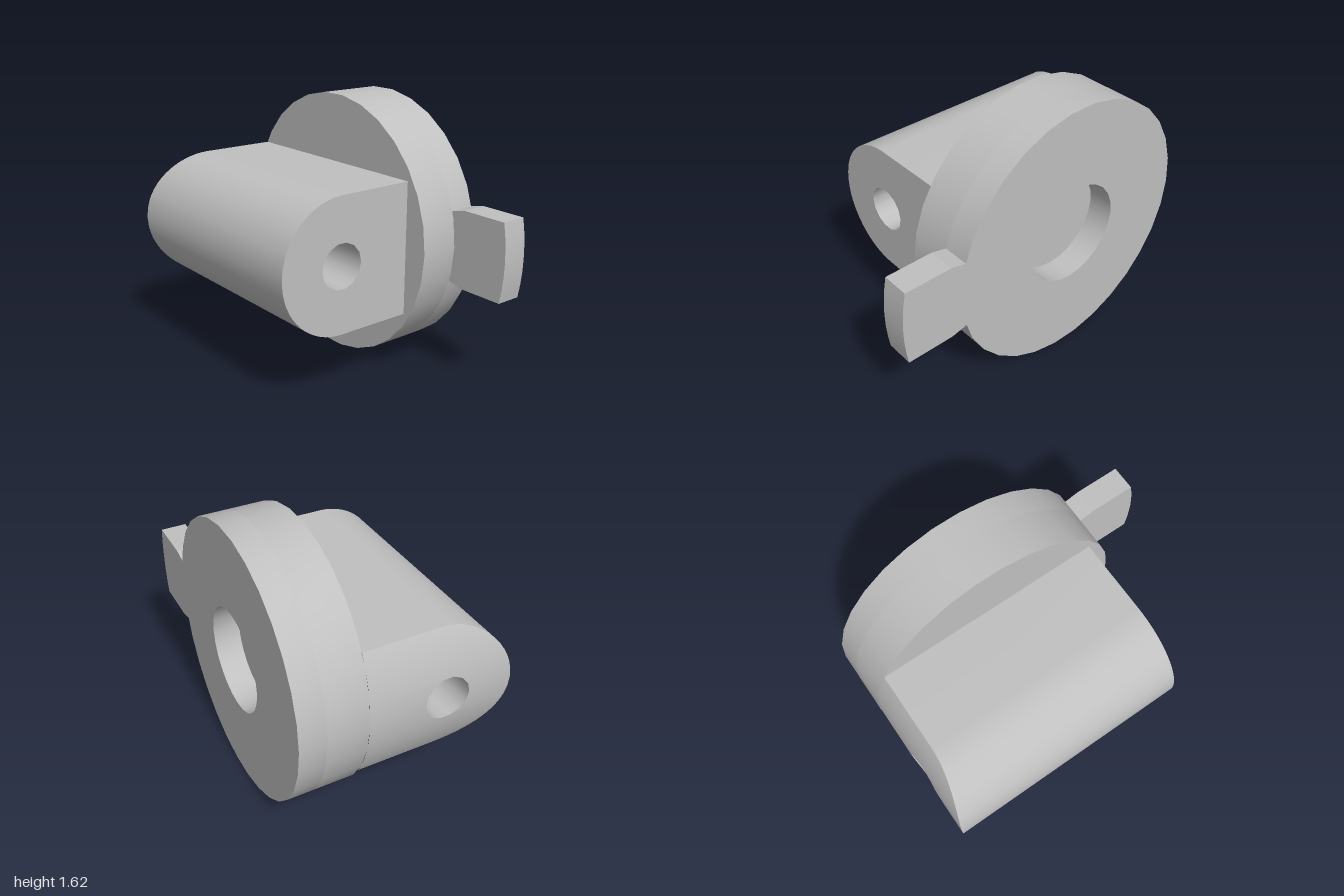
import * as THREE from 'three';
import { toCreasedNormals } from 'three/addons/utils/BufferGeometryUtils.js';

const CX = -0.187, CY = 0.814;             // disc axis
const R = 0.814, SIDES = 30;               // disc rim
const BACK = -0.633, STEP = -0.475, FACE = -0.235;
const LUG = { r: 0.4, z: 0.235, right: 0.475, hole: 0.135, holeSides: 14 };

const ring = (r, n) => Array.from({ length: n }, (_, i) => {
  const a = (i / n) * Math.PI * 2;
  return new THREE.Vector2(r * Math.cos(a), r * Math.sin(a));
});

// Extrude a shape drawn around the disc axis between two z planes
function slab(points, z0, z1, holePoints, crease = 0.5) {
  const shape = new THREE.Shape(points);
  if (holePoints) shape.holes.push(new THREE.Path(holePoints));
  const g = new THREE.ExtrudeGeometry(shape, { depth: z1 - z0, bevelEnabled: false });
  g.translate(CX, CY, z0);
  return toCreasedNormals(g, crease);
}

// Round-nosed lug, built in horizontal bands; its left end follows the disc rim
function lugGeometry() {
  const pos = [];
  const quad = (a, b, c, d) => pos.push(...a, ...b, ...c, ...a, ...c, ...d);
  const { r, z, right, hole, holeSides } = LUG;
  const levels = [];
  for (let i = 0; i <= 32; i++) {
    const y = r * Math.sin(-Math.PI / 2 + (i / 32) * Math.PI);
    if (Math.abs(y) > hole + 0.005) levels.push(y);
  }
  for (let k = -3; k <= 3; k++) levels.push(hole * Math.sin((k / holeSides) * Math.PI * 2));
  levels.sort((a, b) => a - b);
  const rim = 0.812;
  const left = y => CX - Math.sqrt(rim * rim - y * y);
  const nose = y => z + Math.sqrt(Math.max(0, r * r - y * y));
  const half = y => Math.sqrt(Math.max(0, hole * hole - y * y));
  const L = (y, zz) => [left(y), CY + y, zz];
  const P = (y, zz) => [right, CY + y, zz];
  const holeTop = hole * Math.sin((3 / holeSides) * Math.PI * 2);

  for (let i = 0; i < levels.length - 1; i++) {
    const a = levels[i], b = levels[i + 1];
    const ends = (a0, a1, b0, b1) => {
      quad(L(a, a0), L(a, a1), L(b, b1), L(b, b0));
      quad(P(a, a1), P(a, a0), P(b, b0), P(b, b1));
    };
    quad(L(a, nose(a)), P(a, nose(a)), P(b, nose(b)), L(b, nose(b)));
    if (Math.abs(a + b) / 2 < holeTop) {
      const ha = half(a), hb = half(b);
      ends(FACE, z - ha, FACE, z - hb);
      ends(z + ha, nose(a), z + hb, nose(b));
      // bore walls
      quad(L(a, z - ha), P(a, z - ha), P(b, z - hb), L(b, z - hb));
      quad(P(a, z + ha), L(a, z + ha), L(b, z + hb), P(b, z + hb));
    } else {
      ends(FACE, nose(a), FACE, nose(b));
    }
  }
  // flat top and bottom, then bore floor and ceiling
  const up = (y, z0, z1) => quad(L(y, z1), P(y, z1), P(y, z0), L(y, z0));
  const down = (y, z0, z1) => quad(L(y, z0), P(y, z0), P(y, z1), L(y, z1));
  const h = half(holeTop);
  up(r, FACE, z);
  down(-r, FACE, z);
  up(-holeTop, z - h, z + h);
  down(holeTop, z - h, z + h);

  const g = new THREE.BufferGeometry();
  g.setAttribute('position', new THREE.Float32BufferAttribute(pos, 3));
  return toCreasedNormals(g, 0.5);
}

export function createModel() {
  const group = new THREE.Group();
  group.name = 'pivotBracket';
  const grey = new THREE.MeshStandardMaterial({ color: 0xc0c0c0 });
  grey.name = 'plain grey';
  const add = (name, geometry) => {
    const mesh = new THREE.Mesh(geometry, grey);
    mesh.name = name;
    group.add(mesh);
  };

  // Disc: solid front layer, rear layer with the round recess
  add('discFront', slab(ring(R, SIDES), STEP, FACE));
  add('discRear', slab(ring(R, SIDES), BACK, STEP, ring(0.31, 24)));

  // Side tab with chamfered root and arc end
  const tab = [new THREE.Vector2(0.785, -0.213), new THREE.Vector2(0.877, -0.235)];
  const tip = 1 - CX, sweep = Math.asin(0.235 / tip);
  for (let i = 0; i <= 6; i++) {
    const a = sweep * (i / 3 - 1);
    tab.push(new THREE.Vector2(tip * Math.cos(a), tip * Math.sin(a)));
  }
  tab.push(new THREE.Vector2(0.877, 0.235), new THREE.Vector2(0.785, 0.213));
  add('sideTab', slab(tab, BACK, STEP, null, 0.2));

  add('lug', lugGeometry());
  return group;
}
